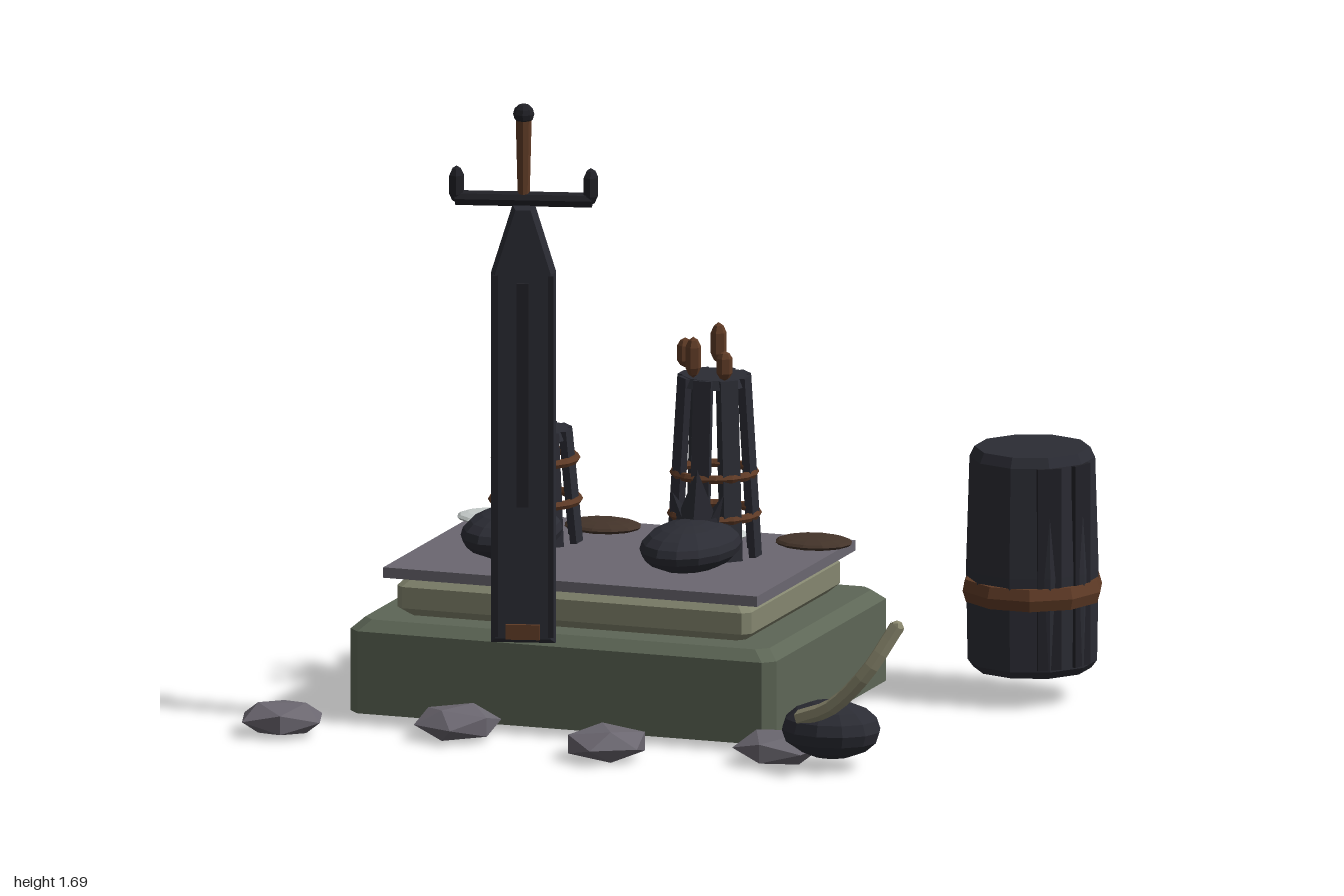
import * as THREE from 'three';

const mat = (name, color, double) => {
  const m = new THREE.MeshStandardMaterial({ color, flatShading: true });
  m.name = name;
  if (double) m.side = THREE.DoubleSide;
  return m;
};

export function createModel() {
  const root = new THREE.Group();
  const iron = mat('dark iron', 0x2b2c34);
  const blackIron = mat('black iron', 0x212127);
  const leather = mat('brown leather', 0x5f3b26);
  const bronze = mat('dull bronze', 0x44342a);
  const silver = mat('silver', 0xc9cfcd);
  const stone = mat('grey stone', 0x6b6770);
  const moss = mat('mossy stone', 0x5d6656, true);
  const paleStone = mat('pale stone', 0x84866f);
  const horn = mat('horn', 0x8d8a70);

  const add = (name, geo, material, x = 0, y = 0, z = 0, parent = root) => {
    const mesh = new THREE.Mesh(geo, material);
    mesh.name = name;
    mesh.position.set(x, y, z);
    parent.add(mesh);
    return mesh;
  };
  const group = (name, x, y, z) => {
    const g = new THREE.Group();
    g.name = name;
    g.position.set(x, y, z);
    root.add(g);
    return g;
  };

  // Chamfered block lofted from octagonal loops given as [inset, y]
  const block = (w, d, cut, levels, openBottom) => {
    const pos = [], idx = [];
    for (const [inset, y] of levels) {
      const a = w / 2 - inset, b = d / 2 - inset;
      for (const [x, z] of [[a, b - cut], [a, -b + cut], [a - cut, -b], [-a + cut, -b],
        [-a, -b + cut], [-a, b - cut], [-a + cut, b], [a - cut, b]]) pos.push(x, y, z);
    }
    const n = levels.length;
    for (let l = 0; l < n - 1; l++) for (let i = 0; i < 8; i++) {
      const p = l * 8 + i, q = l * 8 + (i + 1) % 8;
      idx.push(p, q, q + 8, p, q + 8, p + 8);
    }
    const t = (n - 1) * 8;
    for (let i = 1; i < 7; i++) {
      idx.push(t, t + i, t + i + 1);
      if (!openBottom) idx.push(0, i + 1, i);
    }
    const g = new THREE.BufferGeometry();
    g.setAttribute('position', new THREE.Float32BufferAttribute(pos, 3));
    g.setIndex(idx);
    const flat = g.toNonIndexed();
    flat.computeVertexNormals();
    return flat;
  };

  // Stepped plinth, hollow underneath
  add('plinthBase', block(1.19, 0.89, 0.03, [[0, 0.03], [0, 0.25], [0.03, 0.278]], true), moss, -0.185, 0, -0.065);
  add('plinthStep', block(0.99, 0.71, 0.02, [[0.025, 0.278], [0, 0.3], [0, 0.357], [0.025, 0.382]]), paleStone, -0.185, 0, -0.067);
  add('plinthSlab', new THREE.BoxGeometry(1.045, 0.028, 0.745), stone, -0.183, 0.396, -0.067);

  // Offering discs
  [-0.63, -0.33, -0.035, 0.26].forEach((x, i) => {
    const disc = add('offeringDisc', new THREE.SphereGeometry(1, 12, 8), i % 2 ? bronze : silver, x, 0.42, -0.34);
    disc.scale.set(0.105, 0.017, 0.085);
  });

  // Double-pointed bead
  const bead = (r, h) => new THREE.LatheGeometry([[0, -h / 2], [r * 0.6, -h * 0.42], [r, -h * 0.25],
    [r, h * 0.25], [r * 0.6, h * 0.42], [0, h / 2]].map(p => new THREE.Vector2(...p)), 6);

  // Boots with slatted, ringed shafts
  const boot = (x, top) => {
    const g = group('boot', x, 0, -0.115);
    const h = top - 0.42;
    const foot = add('foot', new THREE.SphereGeometry(1, 14, 10), iron, 0, 0.478, 0.18, g);
    foot.scale.set(0.125, 0.065, 0.19);
    for (let i = 0; i < 8; i++) {
      const arm = new THREE.Group();
      arm.name = 'slatMount';
      arm.rotation.y = i * Math.PI / 4;
      g.add(arm);
      const slat = add('slat', new THREE.BoxGeometry(0.05, h, 0.018), iron, 0, 0.42 + h / 2, 0.1, arm);
      slat.rotation.x = -Math.atan(0.03 / h);
    }
    add('shaftCap', new THREE.CylinderGeometry(0.085, 0.095, 0.025, 12), iron, 0, top - 0.012, 0, g);
    for (const [y, r] of [[0.53, 0.113], [0.64, 0.106]]) {
      const band = add('legBand', new THREE.TorusGeometry(r, 0.012, 6, 16), leather, 0, y, 0, g);
      band.rotation.x = Math.PI / 2;
    }
    // Pointed shin guard
    const guard = add('shinGuard', new THREE.ConeGeometry(0.06, 0.14, 4), iron, 0, 0.6, 0.13, g);
    guard.scale.z = 0.5;
    for (const s of [-1, 1]) {
      const wing = add('shinWing', new THREE.ConeGeometry(0.028, 0.1, 4), iron, s * 0.05, 0.56, 0.125, g);
      wing.rotation.z = -s * 0.45;
      wing.scale.z = 0.6;
    }
    // Beads hovering round the rim
    for (const [bx, bz, lift] of [[-0.095, -0.035, 0.045], [0.06, 0.085, 0.045], [-0.022, 0.1, 0.065], [-0.022, -0.092, 0.065]]) {
      add('rimBead', bead(0.021, lift > 0.05 ? 0.11 : 0.08), leather, bx, top + lift, bz, g);
    }
  };
  boot(-0.435, 0.72);
  boot(0.065, 0.9);

  // Upright sword, blade turned slightly
  const sword = group('sword', -0.283, 0, 0.386);
  sword.rotation.y = 0.26;
  const outline = new THREE.Shape([[-0.073, 0.27], [0.073, 0.27], [0.073, 1.25], [0.02, 1.42], [-0.02, 1.42], [-0.073, 1.25]]
    .map(p => new THREE.Vector2(...p)));
  const blade = new THREE.ExtrudeGeometry(outline, { depth: 0.014, bevelEnabled: true, bevelThickness: 0.014, bevelSize: 0.012, bevelSegments: 1 });
  blade.translate(0, 0, -0.007);
  add('blade', blade, iron, 0, 0, 0, sword);
  for (const s of [-1, 1]) add('bladeEdge', new THREE.BoxGeometry(0.014, 0.97, 0.036), blackIron, s * 0.073, 0.76, 0.005, sword);
  add('bladeRidge', new THREE.BoxGeometry(0.032, 0.6, 0.01), blackIron, 0, 0.925, 0.024, sword);
  add('bladeClasp', new THREE.BoxGeometry(0.09, 0.04, 0.02), leather, 0, 0.29, 0.022, sword);
  const bar = add('crossguard', new THREE.CylinderGeometry(0.02, 0.02, 0.36, 8), blackIron, 0, 1.447, 0, sword);
  bar.rotation.z = Math.PI / 2;
  for (const s of [-1, 1]) add('guardProng', bead(0.021, 0.1), blackIron, s * 0.177, 1.483, 0, sword);
  add('grip', new THREE.CylinderGeometry(0.021, 0.016, 0.2, 8), leather, 0, 1.56, 0, sword);
  add('pommel', new THREE.SphereGeometry(0.028, 8, 6), blackIron, 0, 1.675, 0, sword);

  // Ten-sided cask with leather hoop
  const cask = group('cask', 0.807, 0, -0.513);
  const profile = [[0, 0.09], [0.155, 0.09], [0.17, 0.11], [0.174, 0.36], [0.165, 0.655], [0.152, 0.682], [0, 0.682]]
    .map(p => new THREE.Vector2(...p));
  add('caskBody', new THREE.LatheGeometry(profile, 10), iron, 0, 0, 0, cask);
  const hoop = add('caskHoop', new THREE.TorusGeometry(0.172, 0.018, 6, 10), leather, 0, 0.305, 0, cask);
  hoop.rotation.x = Math.PI / 2;
  hoop.scale.z = 1.9;
  for (const deg of [18, 54]) {
    const a = deg * Math.PI / 180;
    const strip = add('caskStrip', new THREE.BoxGeometry(0.065, 0.54, 0.012), blackIron, 0.163 * Math.cos(a), 0.385, 0.163 * Math.sin(a), cask);
    strip.rotation.y = Math.PI / 2 - a;
  }

  // Fallen helm with a curved horn
  const helm = add('helm', new THREE.SphereGeometry(1, 12, 8), iron, 0.61, 0.11, 0.477);
  helm.scale.set(0.135, 0.077, 0.112);
  const path = new THREE.CatmullRomCurve3([[0.55, 0.15, 0.55], [0.66, 0.2, 0.6], [0.76, 0.3, 0.615], [0.835, 0.425, 0.585]]
    .map(p => new THREE.Vector3(...p)));
  add('horn', new THREE.TubeGeometry(path, 10, 0.022, 6), horn);
  add('hornTip', new THREE.SphereGeometry(0.02, 6, 4), horn, 0.834, 0.42, 0.585);

  // Loose stones in front
  [[-0.885, 0.585], [-0.435, 0.475], [0.02, 0.58], [0.46, 0.475]].forEach(([x, z], i) => {
    const rock = add('looseStone', new THREE.IcosahedronGeometry(0.12, 0), stone, x, 0.05, z);
    rock.scale.y = 0.4;
    rock.rotation.y = 0.3 + i * 0.9;
  });

  return root;
}
